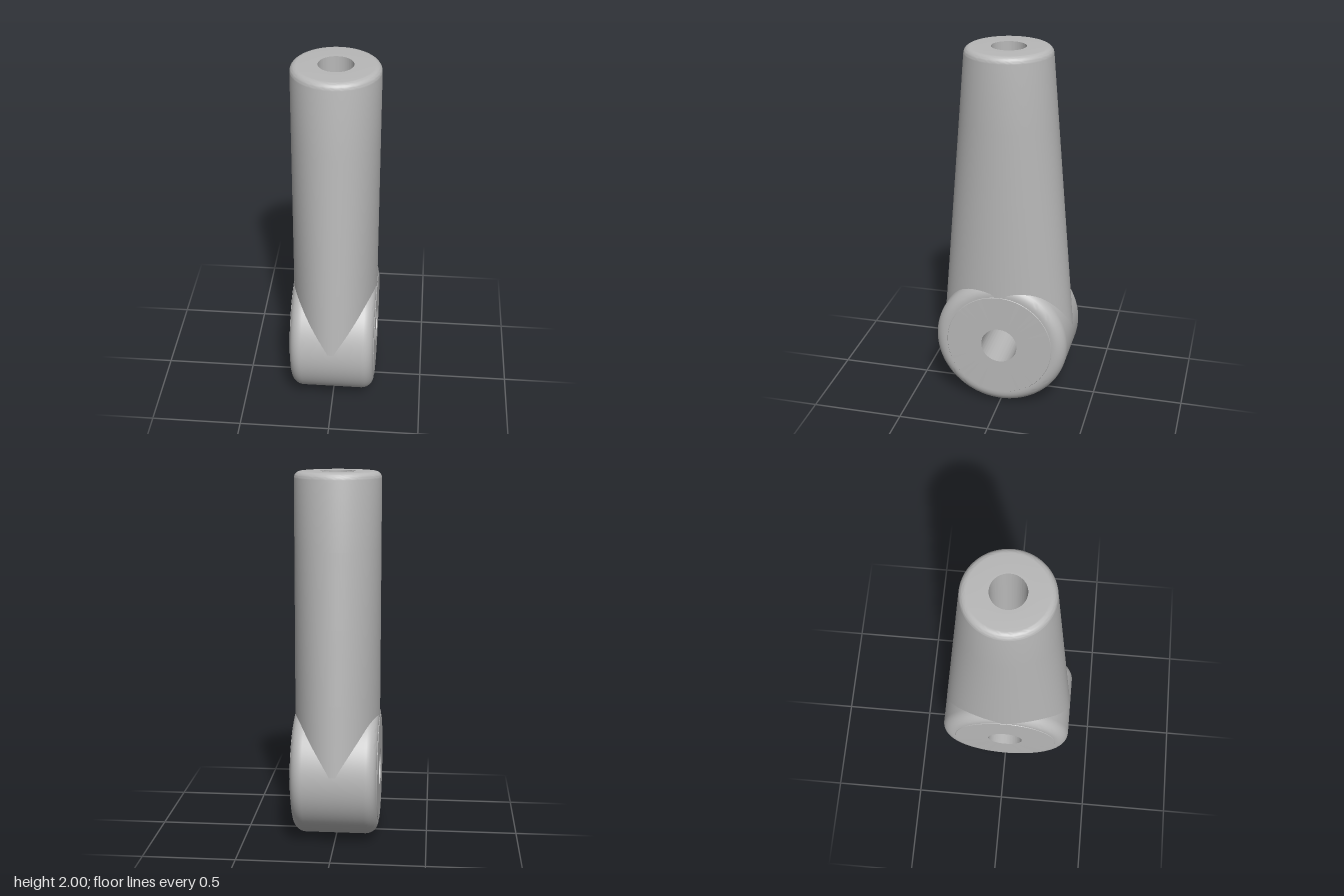
import * as THREE from 'three';
import { toCreasedNormals } from 'three/addons/utils/BufferGeometryUtils.js';

const HUB_R = 0.37, HALF_W = 0.235;

const lathe = (pts) => new THREE.LatheGeometry(pts.map(([x, y]) => new THREE.Vector2(x, y)), 96);

// quarter-round profile points around (cx, cy), from angle a0 to a1 in degrees
function fillet(cx, cy, r, a0, a1, n = 8) {
  return Array.from({ length: n + 1 }, (_, i) => {
    const a = THREE.MathUtils.degToRad(a0 + (a1 - a0) * i / n);
    return [cx + r * Math.cos(a), cy + r * Math.sin(a)];
  });
}

export function createModel() {
  const group = new THREE.Group();
  const grey = new THREE.MeshStandardMaterial({ color: 0xb8b8b8 });
  grey.name = 'grey';
  const add = (name, geometry) => {
    const mesh = new THREE.Mesh(toCreasedNormals(geometry, 0.5), grey);
    mesh.name = name;
    group.add(mesh);
    return mesh;
  };

  // Hub: rounded disc with a raised face on each side and a through bore, axis along x
  const r = 0.067, side = HALF_W - 0.003;
  const hub = lathe([
    [0.1, -HALF_W], [0.293, -HALF_W], [0.295, -side],
    ...fillet(HUB_R - r, -side + r, r, -90, 0),
    ...fillet(HUB_R - r, side - r, r, 0, 90),
    [0.295, side], [0.293, HALF_W], [0.1, HALF_W], [0.1, -HALF_W],
  ]);
  hub.rotateZ(Math.PI / 2);
  add('hub', hub).position.y = HUB_R;

  // Shaft: round at the top with a blind bore, widening along z toward the hub
  const R = 0.233, top = 0.035, foot = 0.49;
  const shaft = lathe([
    [R, foot], ...[0.8, 1.2, 1.6].map((y) => [R, y]),
    ...fillet(R - top, 2 - top, top, 0, 90),
    [0.092, 2], [0.088, 1.3], [0, 1.3],
  ]);
  const p = shaft.attributes.position;
  for (let i = 0; i < p.count; i++) {
    const x = p.getX(i), z = p.getZ(i);
    let y = p.getY(i);
    if (Math.hypot(x, z) < R - 0.001) continue;
    // the foot dips at front and back, and stays clear of the cross bore
    if (y < foot + 0.001) y -= 0.07 * (z / R) ** 2;
    const halfZ = 0.365 - 0.13 * (y - 0.45) / 1.5;
    p.setXYZ(i, x, y, z * Math.max(1, halfZ / R));
  }
  add('shaft', shaft);

  return group;
}
